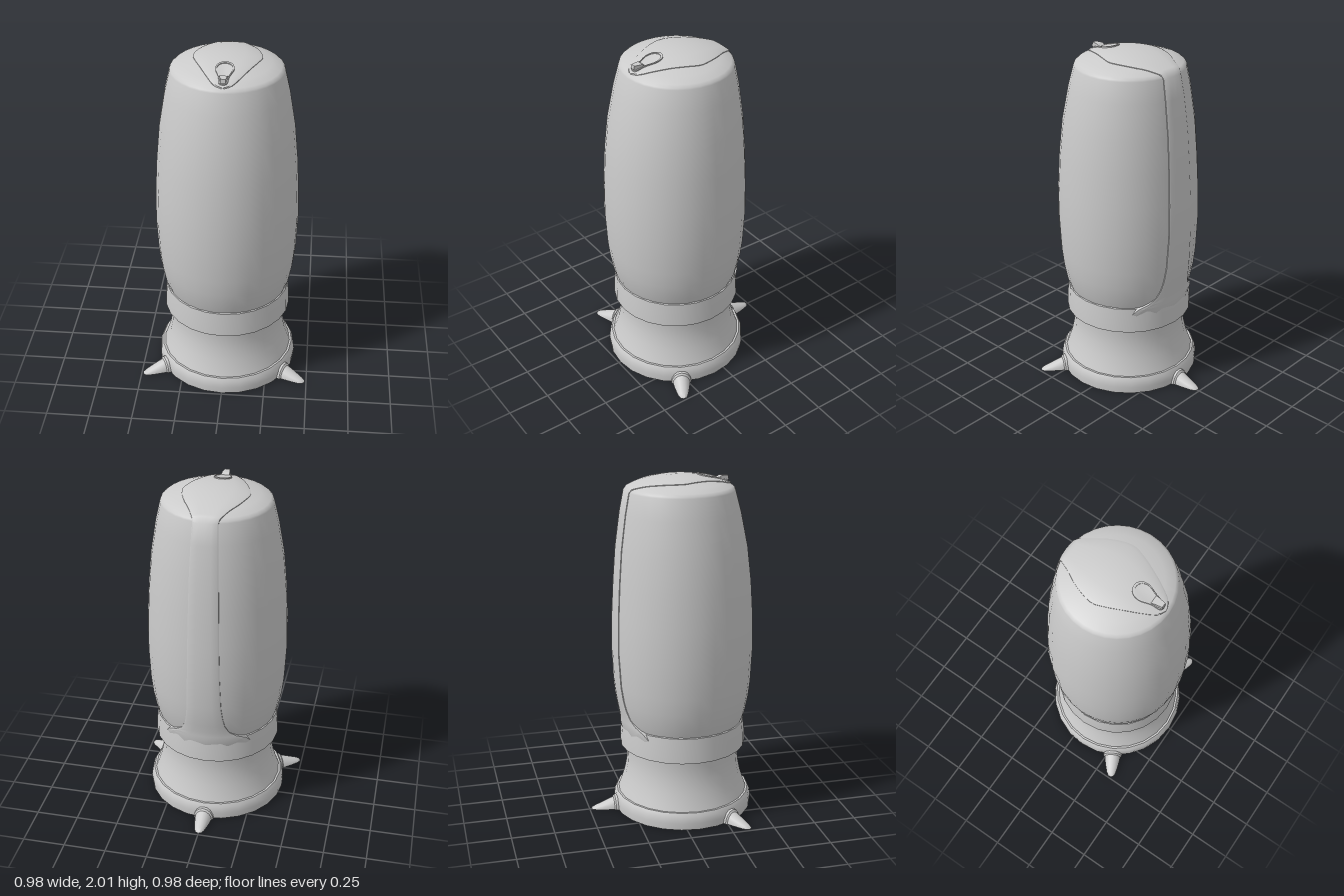
import * as THREE from 'three';
import { toCreasedNormals } from 'three/addons/utils/BufferGeometryUtils.js';

const CZ = 0.075; // body axis
const SEG = 24;
const WALL = [[0.355, 0.55], [0.372, 0.6], [0.391, 0.7], [0.402, 0.8], [0.411, 1], [0.407, 1.2],
  [0.395, 1.4], [0.376, 1.6], [0.342, 1.8], [0.314, 1.92]];

// the upper body leans slightly backwards
const axisZ = (y) => CZ - 0.018 * Math.pow(THREE.MathUtils.clamp((y - 1.2) / 0.7, 0, 1), 2);
const domeY = (r) => 1.942 + 0.058 * (1 - (r / 0.295) ** 2);

function wallRadius(y) {
  if (y <= 0.6) return 0.37;
  for (let i = 1; i < WALL.length; i++) {
    const [r0, y0] = WALL[i - 1], [r1, y1] = WALL[i];
    if (y <= y1) return r0 + (r1 - r0) * (y - y0) / (y1 - y0);
  }
  return 0.314;
}

function createModel() {
  const model = new THREE.Group();
  const material = new THREE.MeshStandardMaterial({ color: 0xcccccc, side: THREE.DoubleSide });

  const add = (name, geometry, crease = 0.6, parent = model) => {
    const mesh = new THREE.Mesh(crease ? toCreasedNormals(geometry, crease) : geometry, material);
    mesh.name = name;
    parent.add(mesh);
    return mesh;
  };
  const lathe = (pts, seg = SEG) => new THREE.LatheGeometry(pts.map(([r, y]) => new THREE.Vector2(r, y)), seg);

  // Barrel-shaped shell with a shallow domed top
  const dome = [0.295, 0.24, 0.18, 0.12, 0.06, 0].map((r) => [r, domeY(r)]);
  const shell = lathe([[0.33, 0.55], ...WALL, [0.31, 1.93], ...dome], 32);
  const p = shell.attributes.position;
  for (let i = 0; i < p.count; i++) p.setZ(i, p.getZ(i) + axisZ(p.getY(i)));
  add('shell', shell, 0.7);

  // Collar, waisted neck and foot
  add('collar', lathe([[0.32, 0.4], [0.373, 0.4], [0.371, 0.47], [0.363, 0.55], [0.33, 0.57]])).position.z = CZ;
  add('neck', lathe([[0.388, 0.095], [0.372, 0.14], [0.352, 0.2], [0.337, 0.27], [0.331, 0.34], [0.335, 0.41]])).position.z = CZ;
  add('foot', lathe([[0, 0.006], [0.3, 0.006], [0.3, 0], [0.413, 0], [0.416, 0.04], [0.41, 0.08], [0.398, 0.1], [0.37, 0.1]])).position.z = CZ;

  // Inlaid band: climbs the back, then spreads into a teardrop on the dome
  const rows = [];
  for (const [y, w] of [[0.5, 0.26], [0.55, 0.23], [0.575, 0.18], [0.61, 0.14], [0.66, 0.118], [0.72, 0.108],
    [0.8, 0.1], [1, 0.094], [1.2, 0.09], [1.4, 0.086], [1.6, 0.082], [1.8, 0.076], [1.92, 0.07]]) {
    rows.push((t, off) => {
      const x = w * t, r = wallRadius(y) + off;
      return [x, y, axisZ(y) - Math.sqrt(r * r - x * x)];
    });
  }
  const outline = new THREE.SplineCurve([[-0.237, 0.076], [-0.17, 0.11], [-0.09, 0.155], [0.02, 0.189], [0.1, 0.17],
    [0.18, 0.135], [0.26, 0.095], [0.33, 0.05], [0.354, 0.004]].map(([z, w]) => new THREE.Vector2(z, w)));
  for (const { x: z, y: w } of outline.getPoints(24)) {
    rows.push((t, off) => {
      const x = w * t;
      return [x, domeY(Math.hypot(x, z - axisZ(2))) + off, z];
    });
  }
  const cols = [[-1, -0.02], [-1, 0.003], [-0.9, 0.006], [-0.5, 0.006], [0, 0.006], [0.5, 0.006], [0.9, 0.006], [1, 0.003], [1, -0.02]];
  const verts = [], index = [], n = cols.length;
  rows.forEach((row, i) => cols.forEach(([t, off], j) => {
    // the lower end sinks flush into the collar
    verts.push(...row(t, i === 0 ? -0.006 : off));
    if (i && j) {
      const d = i * n + j, c = d - 1, b = d - n, a = b - 1;
      index.push(a, c, b, b, c, d);
    }
  }));
  const band = new THREE.BufferGeometry();
  band.setAttribute('position', new THREE.Float32BufferAttribute(verts, 3));
  band.setIndex(index);
  add('backBand', band, 0.6);

  // Small teardrop latch plate following the slope of the dome
  const latch = new THREE.Group();
  latch.name = 'latch';
  model.add(latch);
  const drop = (s) => new THREE.Shape(new THREE.SplineCurve([[0, -0.09], [0.022, -0.08], [0.03, -0.03], [0.05, 0.03], [0.038, 0.075],
    [0, 0.093], [-0.038, 0.075], [-0.05, 0.03], [-0.03, -0.03], [-0.022, -0.08], [0, -0.09]]
    .map(([x, y]) => new THREE.Vector2(x * s, y * s))).getPoints(40));
  const rim = drop(1);
  rim.holes.push(drop(0.86));
  const drape = (geo, lift) => {
    geo.rotateX(-Math.PI / 2);
    geo.translate(0, 0, 0.248);
    const q = geo.attributes.position;
    for (let i = 0; i < q.count; i++) {
      const r = Math.hypot(q.getX(i), q.getZ(i) - axisZ(2));
      q.setY(i, q.getY(i) + domeY(r) + lift);
    }
    return geo;
  };
  add('latchRim', drape(new THREE.ExtrudeGeometry(rim, { depth: 0.014, bevelEnabled: false }), -0.002), 0.6, latch);
  add('latchPlate', drape(new THREE.ExtrudeGeometry(drop(0.9), { depth: 0.008, bevelEnabled: false }), 0), 0.6, latch);

  // Upright tab at the front of the latch, narrowing forwards
  const side = new THREE.Shape([[0.24, 1.955], [0.27, 1.974], [0.292, 1.987], [0.335, 1.987], [0.338, 1.965], [0.318, 1.955], [0.318, 1.93], [0.24, 1.93]]
    .map(([z, y]) => new THREE.Vector2(-z, y)));
  const tab = new THREE.ExtrudeGeometry(side, { depth: 2, bevelEnabled: false });
  tab.translate(0, 0, -1);
  tab.rotateY(Math.PI / 2);
  const tp = tab.attributes.position;
  for (let i = 0; i < tp.count; i++) {
    tp.setX(i, tp.getX(i) * THREE.MathUtils.mapLinear(tp.getZ(i), 0.24, 0.338, 0.03, 0.014));
  }
  add('latchTab', tab, 0.5, latch);

  // Three spur-shaped toes, flat underneath and drooping to the tip
  const toeGeometry = (pts) => {
    const geo = lathe(pts, 16);
    geo.rotateX(-Math.PI / 2);
    const q = geo.attributes.position;
    for (let i = 0; i < q.count; i++) {
      const slope = 1.45 - 4.5 * (-q.getZ(i) - 0.38);
      q.setY(i, Math.max(0.003, q.getY(i) * slope));
    }
    return geo;
  };
  for (let k = 0; k < 3; k++) {
    const toe = new THREE.Group();
    toe.name = 'toe' + (k + 1);
    toe.position.z = CZ;
    toe.rotation.y = k * Math.PI * 2 / 3;
    add('spur', toeGeometry([[0.054, 0.36], [0.052, 0.42], [0.046, 0.46], [0.038, 0.5], [0.029, 0.535], [0.018, 0.557], [0, 0.565]]), 0.8, toe);
    add('socket', toeGeometry([[0.06, 0.36], [0.06, 0.422], [0.052, 0.43]]), 0.6, toe);
    model.add(toe);
  }

  // centre the whole figure
  return model;
}

export { createModel };
